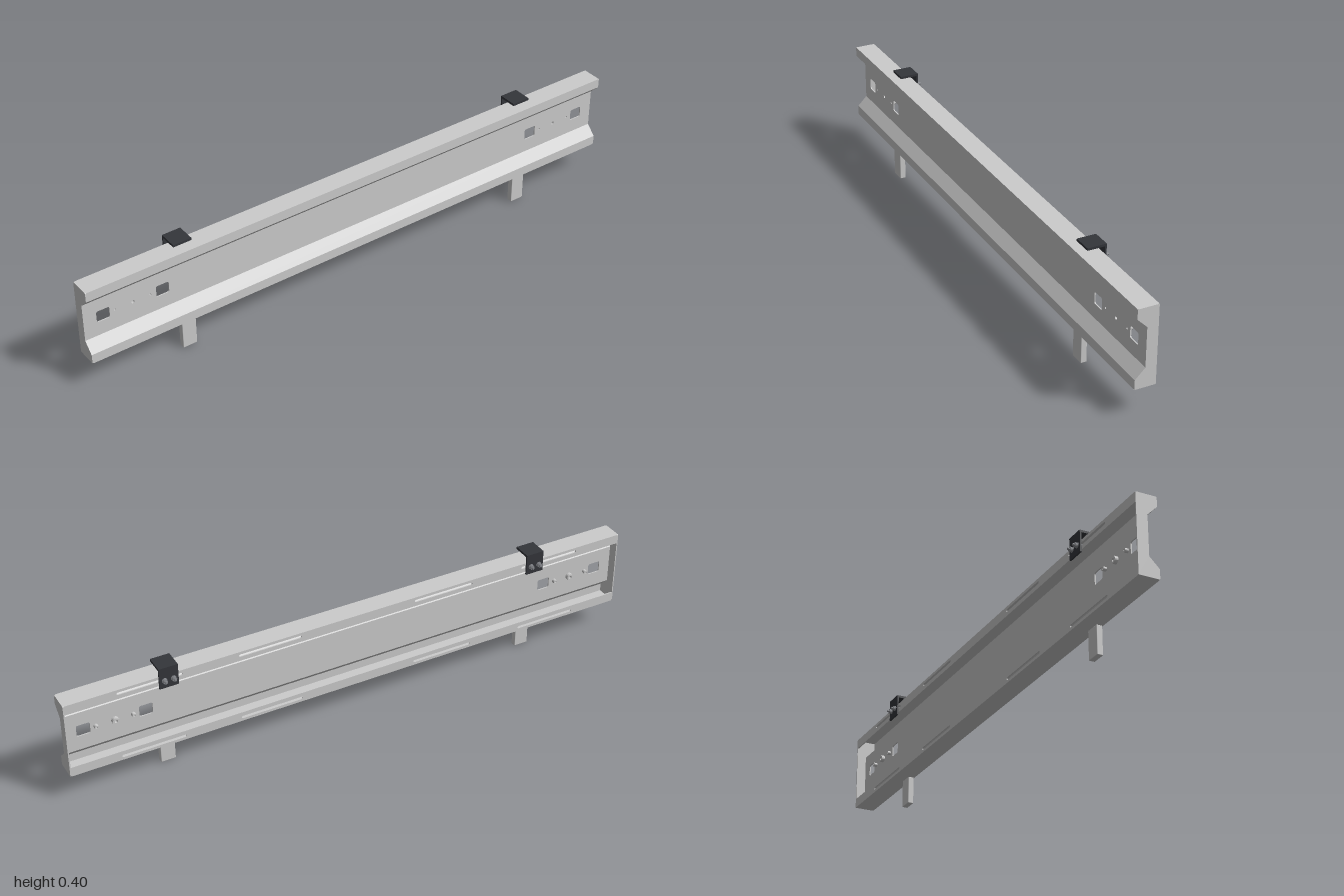
import * as THREE from 'three';
import { RoundedBoxGeometry } from 'three/addons/geometries/RoundedBoxGeometry.js';

const T = 0.004; // sheet thickness
const MID = 0.231; // height of the beam's centre line
const END = 1 - T; // inner face of the end caps
const steel = new THREE.MeshStandardMaterial({ color: 0xcccccc });
const black = new THREE.MeshStandardMaterial({ color: 0x34363b });
const boltSteel = new THREE.MeshStandardMaterial({ color: 0x85878c });

function add(parent, name, geometry, material, x = 0, y = 0, z = 0) {
  const mesh = new THREE.Mesh(geometry, material);
  mesh.name = name;
  mesh.position.set(x, y, z);
  parent.add(mesh);
  return mesh;
}

function polygon(points) {
  return new THREE.Shape(points.map(([x, y]) => new THREE.Vector2(x, y)));
}

// Extrude an x-y outline along z, starting at z0
function alongZ(points, z0, depth) {
  return new THREE.ExtrudeGeometry(polygon(points), { depth, bevelEnabled: false }).translate(0, 0, z0);
}

// Rectangular opening with rounded corners
function opening(z, y, w, h, r) {
  const p = new THREE.Path();
  const [a, b, c, d] = [z - w / 2, z + w / 2, y - h / 2, y + h / 2];
  p.absarc(b - r, d - r, r, 0, Math.PI / 2);
  p.absarc(a + r, d - r, r, Math.PI / 2, Math.PI);
  p.absarc(a + r, c + r, r, Math.PI, Math.PI * 1.5);
  p.absarc(b - r, c + r, r, Math.PI * 1.5, Math.PI * 2);
  p.closePath();
  return p;
}

// Upright sheet in the z-y plane whose outer face lies at x
function sheet(x, y0, y1, holes) {
  const shape = polygon([[-END, y0], [END, y0], [END, y1], [-END, y1]]);
  shape.holes.push(...holes);
  return new THREE.ExtrudeGeometry(shape, { depth: T, bevelEnabled: false, curveSegments: 5 })
    .rotateY(-Math.PI / 2).translate(x, 0, 0);
}

// Cylinder lying along x, from x0 to x1
function rod(x0, x1, r, sides) {
  return new THREE.CylinderGeometry(r, r, x1 - x0, sides).rotateZ(Math.PI / 2).translate((x0 + x1) / 2, 0, 0);
}

export function createModel() {
  const model = new THREE.Group();
  model.name = 'railBeam';
  const flip = ([x, y]) => [x, 2 * MID - y];

  // Recessed web with square openings and fastener holes near both ends
  const webHoles = [];
  const inserts = [[0.77, 0.007], [0.83, 0.012], [0.893, 0.007]];
  for (const s of [-1, 1]) {
    for (const z of [0.727, 0.933]) webHoles.push(opening(s * z, MID + 0.002, 0.045, 0.04, 0.006));
    for (const [z, r] of inserts) webHoles.push(opening(s * z, MID + 0.002, r * 0.9, r * 0.9, r * 0.449));
  }
  add(model, 'web', sheet(0.012, 0.164, 0.298, webHoles), steel);

  // Hollow inserts behind the web
  for (const s of [-1, 1]) for (const [z, r] of inserts) {
    const ring = new THREE.Shape().absarc(0, 0, r, 0, Math.PI * 2);
    ring.holes.push(new THREE.Path().absarc(0, 0, r * 0.45, 0, Math.PI * 2));
    const g = new THREE.ExtrudeGeometry(ring, { depth: 0.012, bevelEnabled: false, curveSegments: 8 }).rotateY(-Math.PI / 2);
    add(model, 'threadedInsert', g, steel, 0.008, MID + 0.002, s * z);
  }

  // Folded flanges with slopes, and slotted lips along the open back
  const flange = [[0.012, 0.298], [0.045, 0.331], [0.045, 0.364], [-0.025, 0.364], [-0.025, 0.36],
    [0.041, 0.36], [0.041, 0.3327], [0.008, 0.2997], [0.008, 0.298]];
  add(model, 'upperFlange', alongZ(flange, -END, 2 * END), steel);
  add(model, 'lowerFlange', alongZ(flange.map(flip), -END, 2 * END), steel);
  const slots = (y) => [-0.72, -0.313, 0.313, 0.72].map((z) => opening(z, y, 0.217, 0.009, 0.0044));
  add(model, 'upperLip', sheet(-0.021, 0.331, 0.36, slots(0.35)), steel);
  add(model, 'lowerLip', sheet(-0.021, 0.102, 0.131, slots(0.112)), steel);

  // Solid end caps
  const half = [[-0.025, 0.362], [-0.023, 0.364], [0.043, 0.364], [0.045, 0.362], [0.045, 0.331], [0.012, 0.298]];
  const cap = [...half, ...half.map(flip).reverse()];
  for (const z of [-1, END]) add(model, 'endCap', alongZ(cap, z, T), steel);

  // Angle brackets with bolts, and the legs below
  const angle = [[-0.031, 0.322], [-0.0255, 0.322], [-0.0255, 0.388], [0.033, 0.388], [0.033, 0.396], [-0.031, 0.396]];
  for (const s of [-1, 1]) {
    const bracket = new THREE.Group();
    bracket.name = 'bracket';
    bracket.position.z = s * 0.66;
    model.add(bracket);
    add(bracket, 'anglePlate', alongZ(angle, -0.032, 0.064), black);
    for (const z of [-0.015, 0.015]) {
      add(bracket, 'washer', rod(-0.033, -0.031, 0.009, 20), boltSteel, 0, 0.35, z);
      add(bracket, 'nut', rod(-0.041, -0.033, 0.008, 6), boltSteel, 0, 0.35, z);
      add(bracket, 'boltShank', rod(-0.047, -0.02, 0.0042, 14), boltSteel, 0, 0.35, z);
      add(bracket, 'boltHead', rod(-0.021, -0.015, 0.008, 6), boltSteel, 0, 0.35, z);
    }
    add(model, 'leg', new RoundedBoxGeometry(0.02, 0.097, 0.05, 2, 0.002), steel, 0.031, 0.0485, s * 0.66);
  }
  return model;
}
